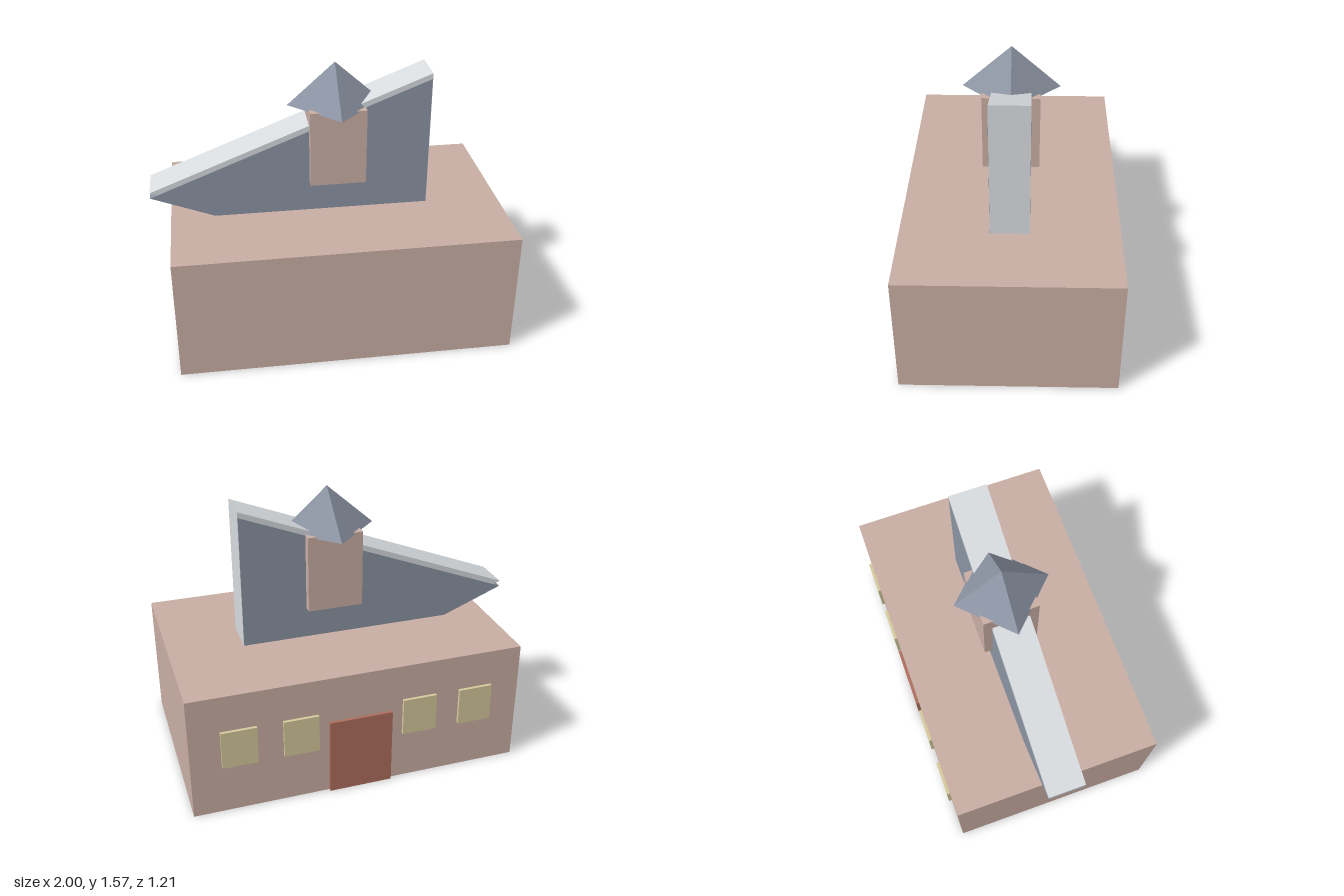
import * as THREE from 'three';

const material = (color) => new THREE.MeshStandardMaterial({ color, flatShading: true });

export function createModel() {
  const model = new THREE.Group();
  const wall = material(0xc9aea4);
  const slate = material(0x8c94a3);
  const trim = material(0xd8dcdf);
  const glass = material(0xd6c99c);
  const doorPaint = material(0xae6e5d);

  const add = (name, geometry, mat) => {
    const mesh = new THREE.Mesh(geometry, mat);
    mesh.name = name;
    model.add(mesh);
    return mesh;
  };

  // Box given by its extents on each axis
  const box = (name, mat, [x0, x1], [y0, y1], [z0, z1]) =>
    add(name, new THREE.BoxGeometry(x1 - x0, y1 - y0, z1 - z0), mat)
      .position.set((x0 + x1) / 2, (y0 + y1) / 2, (z0 + z1) / 2);

  // Triangular wedge lying on its side, its lower corner sunk in the building
  const wedge = (name, mat, tipY, xBack, z0, z1) => {
    const shape = new THREE.Shape([
      new THREE.Vector2(-1, tipY),
      new THREE.Vector2(xBack, tipY - 0.622),
      new THREE.Vector2(xBack, tipY + 0.622),
    ]);
    const geometry = new THREE.ExtrudeGeometry(shape, { depth: z1 - z0, bevelEnabled: false });
    add(name, geometry.translate(0, 0, z0), mat);
  };

  // Main building
  box('building', wall, [-0.895, 0.995], [0, 0.72], [-0.59, 0.602]);

  // Slanted roof: slate wedge under a pale covering wedge
  wedge('roofCovering', trim, 0.893, 0.575, -0.101, 0.113);
  wedge('roofWedge', slate, 0.86, 0.573, -0.102, 0.114);

  // Tower straddling the roof, with a four-sided spire
  box('tower', wall, [-0.107, 0.207], [0.9, 1.34], [-0.15, 0.165]);
  add('spire', new THREE.ConeGeometry(0.267, 0.24, 4), slate).position.set(0.05, 1.45, 0.007);

  // Door and windows on the back wall
  const panel = [-0.608, -0.585];
  box('door', doorPaint, [-0.13, 0.23], [0, 0.45], panel);
  for (const x of [-0.627, -0.292, 0.388, 0.728]) {
    box('window', glass, [x - 0.098, x + 0.098], [0.29, 0.51], panel);
  }

  return model;
}
